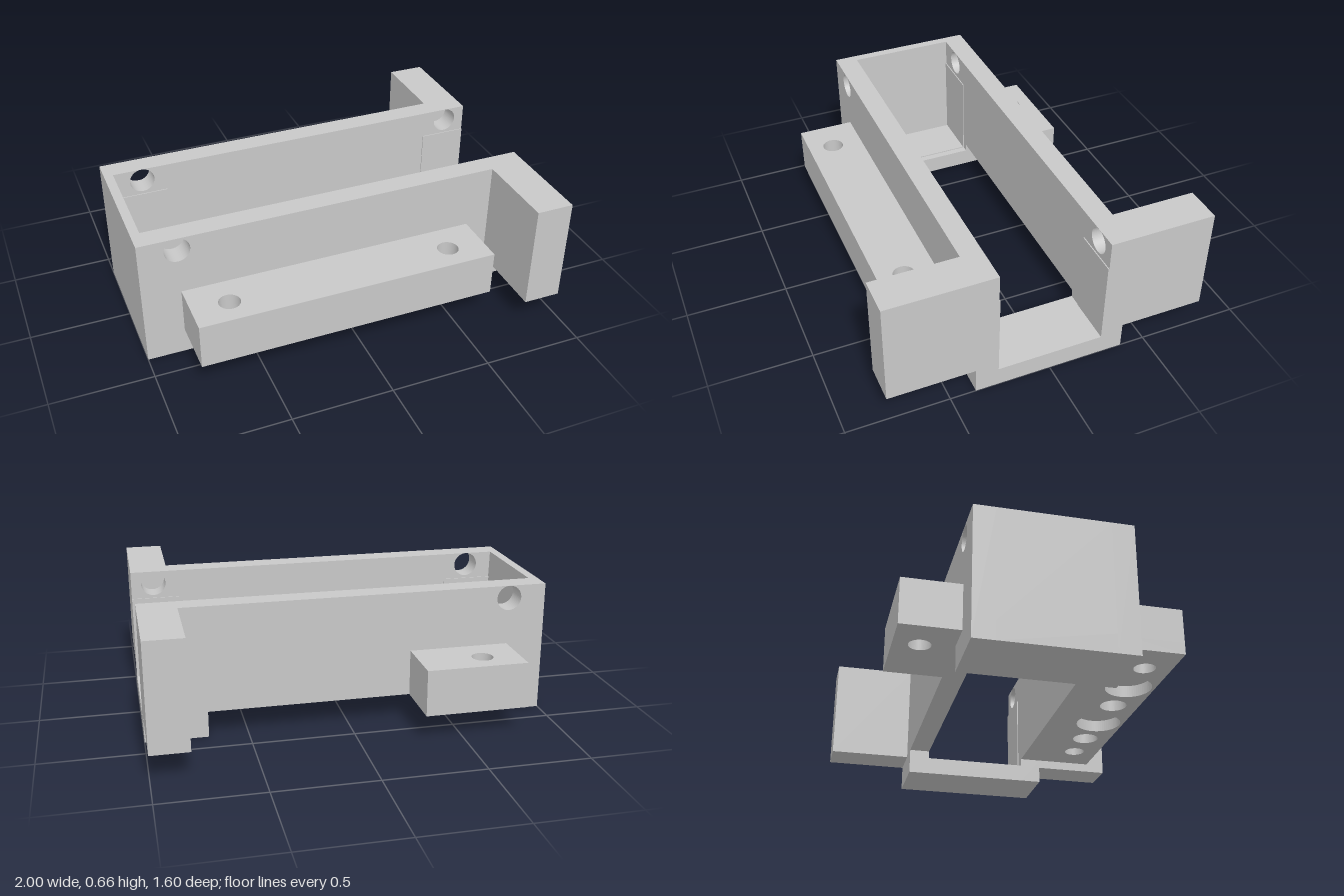
import * as THREE from 'three';

const grey = new THREE.MeshStandardMaterial({ color: 0xc8c8c8 });
grey.name = 'light grey';

export function createModel() {
  const model = new THREE.Group();
  model.name = 'mountingBracket';

  const add = (name, geometry) => {
    const mesh = new THREE.Mesh(geometry, grey);
    mesh.name = name;
    model.add(mesh);
    return mesh;
  };

  // Box given by its limits on each axis
  const block = (name, x0, x1, y0, y1, z0, z1) => {
    const g = new THREE.BoxGeometry(x1 - x0, y1 - y0, z1 - z0);
    g.translate((x0 + x1) / 2, (y0 + y1) / 2, (z0 + z1) / 2);
    return add(name, g);
  };

  // Extruded outline with round holes [x, y, radius]
  const drilled = (points, holes, depth) => {
    const shape = new THREE.Shape(points.map(([x, y]) => new THREE.Vector2(x, y)));
    for (const [x, y, r] of holes) {
      shape.holes.push(new THREE.Path().absarc(x, y, r, 0, Math.PI * 2, true));
    }
    return new THREE.ExtrudeGeometry(shape, { depth, bevelEnabled: false, curveSegments: 32 });
  };

  // Horizontal slab with vertical holes [x, z, radius]
  const slab = (name, x0, x1, y0, y1, z0, z1, holes) => {
    const g = drilled([[x0, -z1], [x1, -z1], [x1, -z0], [x0, -z0]],
      holes.map(([x, z, r]) => [x, -z, r]), y1 - y0);
    g.rotateX(-Math.PI / 2);
    g.translate(0, y0, 0);
    return add(name, g);
  };

  // Long side walls with feet at both ends and cross holes near the top
  const profile = [[-1, 0], [-0.655, 0], [-0.655, 0.13], [0.693, 0.13],
    [0.693, 0], [1, 0], [1, 0.66], [-1, 0.66]];
  const crossHoles = [[-0.813, 0.597, 0.0625], [0.887, 0.597, 0.0625]];
  for (const side of [-1, 1]) {
    const label = side > 0 ? 'front' : 'back';
    const wall = drilled(profile, crossHoles, 0.107);
    wall.translate(0, 0, side > 0 ? 0.267 : -0.377);
    add(label + 'Wall', wall);

    // End flange wing, which closes the outer side of the blind cross hole
    const [w0, w1] = side > 0 ? [0.374, 0.8] : [-0.8, -0.377];
    block(label + 'FlangeWing', 0.813, 1, 0.13, 0.66, w0, w1);

    // Thin raised pads inside the wall ends
    const [p0, p1] = side > 0 ? [0.262, 0.267] : [-0.27, -0.265];
    block(label + 'LeftPad', 0.76, 1, 0.095, 0.52, p0, p1);
    block(label + 'RightPad', -0.955, -0.69, 0.095, 0.52, p0, p1);
  }

  // Closed end, slightly thicker towards the floor
  const endWall = drilled([[-1, 0.095], [-0.94, 0.095], [-0.955, 0.66], [-1, 0.66]], [], 0.537);
  endWall.translate(0, 0, -0.27);
  add('endWall', endWall);

  // Floor bridges, each with a slightly lower inner rim
  block('closedEndFloor', -1, -0.69, 0, 0.095, -0.27, 0.267);
  block('closedEndRim', -0.69, -0.655, 0, 0.09, -0.27, 0.267);
  block('openEndFloor', 0.76, 1, 0, 0.095, -0.27, 0.267);
  block('openEndRim', 0.693, 0.76, 0, 0.09, -0.27, 0.267);

  // Front ledge in layers: screw holes go through, the pockets below are blind
  const screws = [[-0.625, 0.53, 0.053], [0.505, 0.53, 0.053]];
  const pockets = [[0.3, 0.53, 0.067], [-0.17, 0.53, 0.067]];
  const shallow = [[0.07, 0.53, 0.115], [-0.4, 0.53, 0.115]];
  const layers = [
    [0.13, 0.19, [...screws, ...pockets, ...shallow]],
    [0.19, 0.25, [...screws, ...pockets]],
    [0.25, 0.36, screws],
  ];
  for (const [y0, y1, holes] of layers) {
    slab('frontLedge', -0.81, 0.693, y0, y1, 0.374, 0.66, holes);
  }

  // Short back ledge with one screw hole
  slab('backLedge', -0.81, -0.31, 0.13, 0.36, -0.66, -0.377, [[-0.625, -0.535, 0.053]]);

  return model;
}
